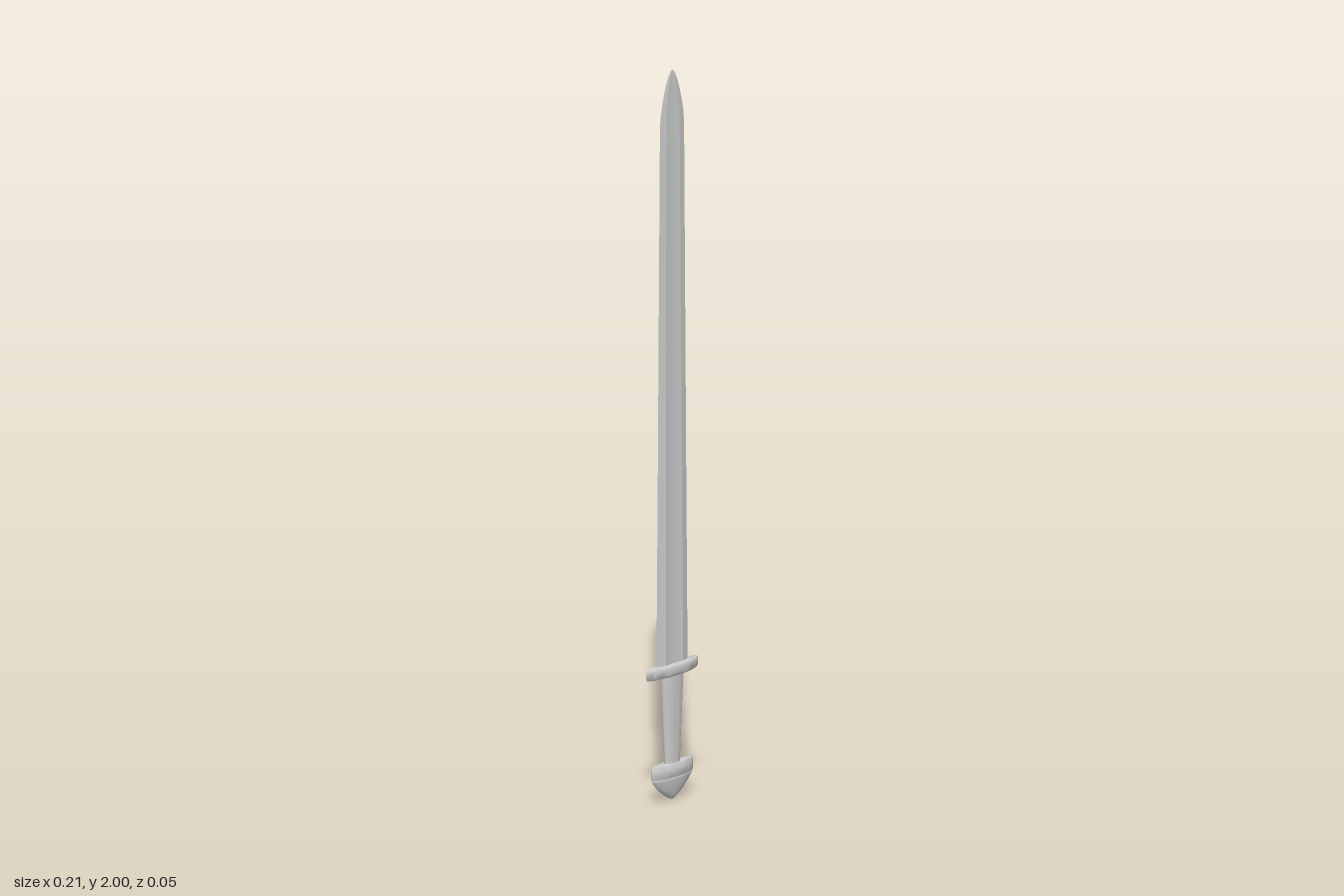
import * as THREE from 'three';
import { toCreasedNormals } from 'three/addons/utils/BufferGeometryUtils.js';

const material = new THREE.MeshStandardMaterial({ color: 0xcccccc });

// Unit outline around y; a power above 1 sharpens an ellipse into a lens with blunt ends.
function outline(power, sides = 48) {
  return Array.from({ length: sides }, (_, i) => {
    const a = (i / sides) * Math.PI * 2;
    const s = Math.sin(a);
    return [Math.cos(a), Math.sign(s) * Math.abs(s) ** power];
  });
}

// Skins a unit outline through rings of [y, half width, half depth], bottom to top.
function loft(name, section, rings, crease) {
  const all = [[rings[0][0], 0, 0], ...rings, [rings.at(-1)[0], 0, 0]];
  const pos = [];
  const point = ([y, w, d], j) => {
    const [x, z] = section[j % section.length];
    return new THREE.Vector3(x * w, y, z * d);
  };
  const tri = (...p) => {
    if (new THREE.Triangle(...p).getArea() > 1e-10) p.forEach((v) => pos.push(v.x, v.y, v.z));
  };
  for (let i = 0; i < all.length - 1; i++) {
    for (let j = 0; j < section.length; j++) {
      const a = point(all[i], j), b = point(all[i], j + 1);
      const c = point(all[i + 1], j), d = point(all[i + 1], j + 1);
      tri(a, c, b);
      tri(b, c, d);
    }
  }
  const geometry = new THREE.BufferGeometry();
  geometry.setAttribute('position', new THREE.Float32BufferAttribute(pos, 3));
  const mesh = new THREE.Mesh(toCreasedNormals(geometry, crease), material);
  mesh.name = name;
  return mesh;
}

export function createModel() {
  const group = new THREE.Group();
  group.name = 'sword';

  // Blade: bevelled edges with a shallow fuller down each face
  const half = [[1, 0], [0.55, 1], [0.4, 0.8], [0, 0.55], [-0.4, 0.8], [-0.55, 1]];
  const bladeSection = [...half, ...half.map(([x, z]) => [-x, -z])];
  const bladeRings = [
    [0.36, 0.062, 0.009], [0.85, 0.057, 0.007], [1.4, 0.052, 0.005], [1.85, 0.048, 0.0035],
    [1.88, 0.045, 0.0034], [1.91, 0.039, 0.0032], [1.94, 0.031, 0.003],
    [1.965, 0.023, 0.0027], [1.985, 0.014, 0.0022], [1.996, 0.007, 0.0015], [2, 0.002, 0.001],
  ];
  group.add(loft('blade', bladeSection, bladeRings, 0.2));

  // Guard: lens-shaped bar with rounded rims
  const lens = outline(1.5);
  group.add(loft('guard', lens, [
    [0.341, 0.097, 0.018], [0.343, 0.1, 0.021], [0.348, 0.103, 0.023],
    [0.365, 0.103, 0.023], [0.37, 0.1, 0.021], [0.372, 0.097, 0.018],
  ], 0.9));

  // Grip: oval, widening towards the guard
  group.add(loft('grip', outline(1), [
    [0.095, 0.027, 0.013], [0.22, 0.034, 0.015], [0.345, 0.041, 0.017],
  ], 0.7));

  // Pommel: upper bar, a groove, then a cap narrowing to a blunt point
  group.add(loft('pommelBar', lens, [
    [0.063, 0.08, 0.018], [0.067, 0.082, 0.02], [0.092, 0.082, 0.02],
    [0.098, 0.08, 0.018], [0.1, 0.077, 0.016],
  ], 0.9));
  group.add(loft('pommelCap', lens, [
    [0, 0.006, 0.003], [0.004, 0.015, 0.006], [0.013, 0.03, 0.009], [0.027, 0.05, 0.013],
    [0.042, 0.066, 0.016], [0.055, 0.077, 0.018], [0.061, 0.081, 0.019], [0.064, 0.079, 0.018],
  ], 0.7));

  return group;
}
